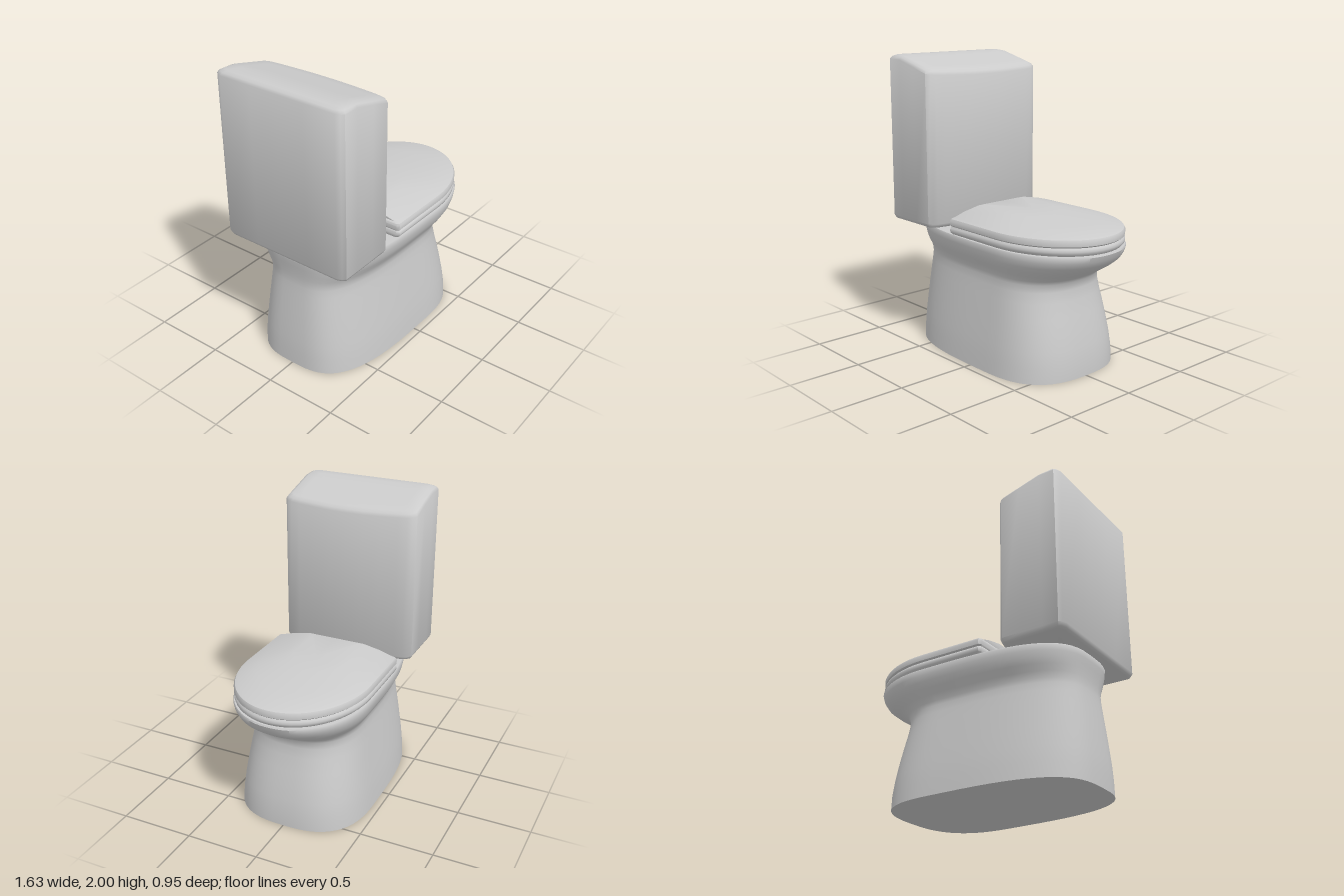
import * as THREE from 'three';
import { mergeVertices, toCreasedNormals } from 'three/addons/utils/BufferGeometryUtils.js';

const material = new THREE.MeshStandardMaterial({ color: 0xcccccc });

// Skins a stack of closed rings (arrays of [x, y, z], running from +x towards +z) and caps both ends.
function loft(name, rings, crease) {
  const n = rings[0].length;
  const centre = ring => [0, 1, 2].map(k => ring.reduce((s, p) => s + p[k], 0) / n);
  const points = rings.flat();
  const index = [];
  for (let i = 0; i < rings.length - 1; i++) {
    for (let j = 0; j < n; j++) {
      const a = i * n + j, b = i * n + (j + 1) % n;
      index.push(a, a + n, b, b, a + n, b + n);
    }
  }
  const bottom = points.push(centre(rings[0])) - 1;
  const top = points.push(centre(rings[rings.length - 1])) - 1;
  const last = (rings.length - 1) * n;
  for (let j = 0; j < n; j++) {
    const k = (j + 1) % n;
    index.push(bottom, j, k, top, last + k, last + j);
  }
  const geometry = new THREE.BufferGeometry();
  geometry.setAttribute('position', new THREE.Float32BufferAttribute(points.flat(), 3));
  geometry.setIndex(index);
  const mesh = new THREE.Mesh(toCreasedNormals(mergeVertices(geometry), crease), material);
  mesh.name = name;
  return mesh;
}

// Egg-shaped ring: superellipse with its own exponent for the front and the back half.
function eggRing(y, back, front, width, mid, nFront, nBack, count = 64) {
  const ring = [];
  for (let i = 0; i < count; i++) {
    const t = i / count * Math.PI * 2, c = Math.cos(t), s = Math.sin(t);
    const n = c >= 0 ? nFront : nBack;
    const r = c >= 0 ? front - mid : mid - back;
    ring.push([
      mid + Math.sign(c) * r * Math.abs(c) ** (2 / n), y,
      Math.sign(s) * width * Math.abs(s) ** (2 / n)
    ]);
  }
  return ring;
}

// D-shaped ring: half ellipse in front, straight sides and a straight back.
function dRing(y, back, front, width, mid) {
  const ring = [];
  for (let i = 0; i <= 28; i++) {
    const t = -Math.PI / 2 + i / 28 * Math.PI;
    ring.push([mid + (front - mid) * Math.cos(t), y, width * Math.sin(t)]);
  }
  const side = 0.95 * width, nearBack = back + 0.012;
  ring.push([nearBack, y, width * 0.99], [back, y, side], [back, y, 0], [back, y, -side], [nearBack, y, -width * 0.99]);
  return ring;
}

export function createModel() {
  const model = new THREE.Group();
  model.name = 'toilet';

  // Pedestal and bowl: [y, back, front, half width, widest x, front exponent]
  const bowl = [
    [0, -0.78, 0.635, 0.45, 0.15, 2.7],
    [0.1, -0.78, 0.635, 0.442, 0.15, 2.7],
    [0.2, -0.775, 0.62, 0.43, 0.15, 2.7],
    [0.3, -0.767, 0.603, 0.415, 0.15, 2.65],
    [0.4, -0.758, 0.58, 0.40, 0.15, 2.6],
    [0.5, -0.748, 0.558, 0.384, 0.15, 2.5],
    [0.57, -0.741, 0.547, 0.373, 0.15, 2.45],
    [0.62, -0.737, 0.55, 0.367, 0.16, 2.4],
    [0.65, -0.736, 0.58, 0.37, 0.17, 2.35],
    [0.69, -0.739, 0.65, 0.39, 0.2, 2.25],
    [0.73, -0.744, 0.715, 0.418, 0.22, 2.15],
    [0.77, -0.75, 0.768, 0.438, 0.24, 2.1],
    [0.81, -0.757, 0.797, 0.447, 0.25, 2.1],
    [0.845, -0.76, 0.81, 0.45, 0.25, 2.1],
    [0.855, -0.755, 0.805, 0.445, 0.25, 2.1]
  ].map(([y, back, front, width, mid, n]) => eggRing(y, back, front, width, mid, n, 3.2));
  model.add(loft('bowl', bowl, 0.8));

  // Seat ring and domed lid above it: [y, inset]
  const slab = rows => rows.map(([y, inset]) => dRing(y, -0.21 + inset * 0.4, 0.812 - inset, 0.45 - inset, 0.25));
  model.add(loft('seat', slab([[0.856, 0.018], [0.87, 0.004], [0.885, 0], [0.9, 0.004], [0.91, 0.014]]), 0.7));
  const lid = slab([[0.908, 0.014], [0.918, 0.002], [0.945, 0], [0.96, 0.008], [0.968, 0.03]]);
  lid.push(dRing(0.99, -0.2, 0.59, 0.34, 0.2), dRing(1.015, -0.195, 0.33, 0.215, 0.1), dRing(1.021, -0.18, 0.24, 0.17, 0.08));
  model.add(loft('lid', lid, 0.7));

  // Tank outline from above: bowed front, softened corners
  const half = [
    [-0.32, 0], [-0.322, 0.12], [-0.333, 0.24], [-0.347, 0.36], [-0.357, 0.42],
    [-0.37, 0.452], [-0.395, 0.475], [-0.53, 0.475], [-0.68, 0.475], [-0.79, 0.475], [-0.808, 0.455],
    [-0.82, 0.425], [-0.82, 0.2], [-0.82, 0]
  ];
  const outline = [...half, ...half.slice(1, -1).reverse().map(([x, z]) => [x, -z])];
  const scaled = (inset, height) => outline.map(([x, z]) => {
    const px = -0.57 + (x + 0.57) * (1 - inset / 0.25), pz = z * (1 - inset / 0.475);
    return [px, height(px), pz];
  });
  // Top slopes down towards the front
  const slope = x => 2 - 0.26 * Math.max(0, x + 0.69);
  model.add(loft('tank', [
    scaled(0.03, () => 0.86),
    scaled(0.012, () => 0.868),
    scaled(0, () => 0.89),
    scaled(0, x => slope(x) - 0.028),
    scaled(0.012, x => slope(x) - 0.01),
    scaled(0.035, slope),
    scaled(0.1, slope),
    scaled(0.18, slope),
    scaled(0.24, slope)
  ], 0.8));

  return model;
}
